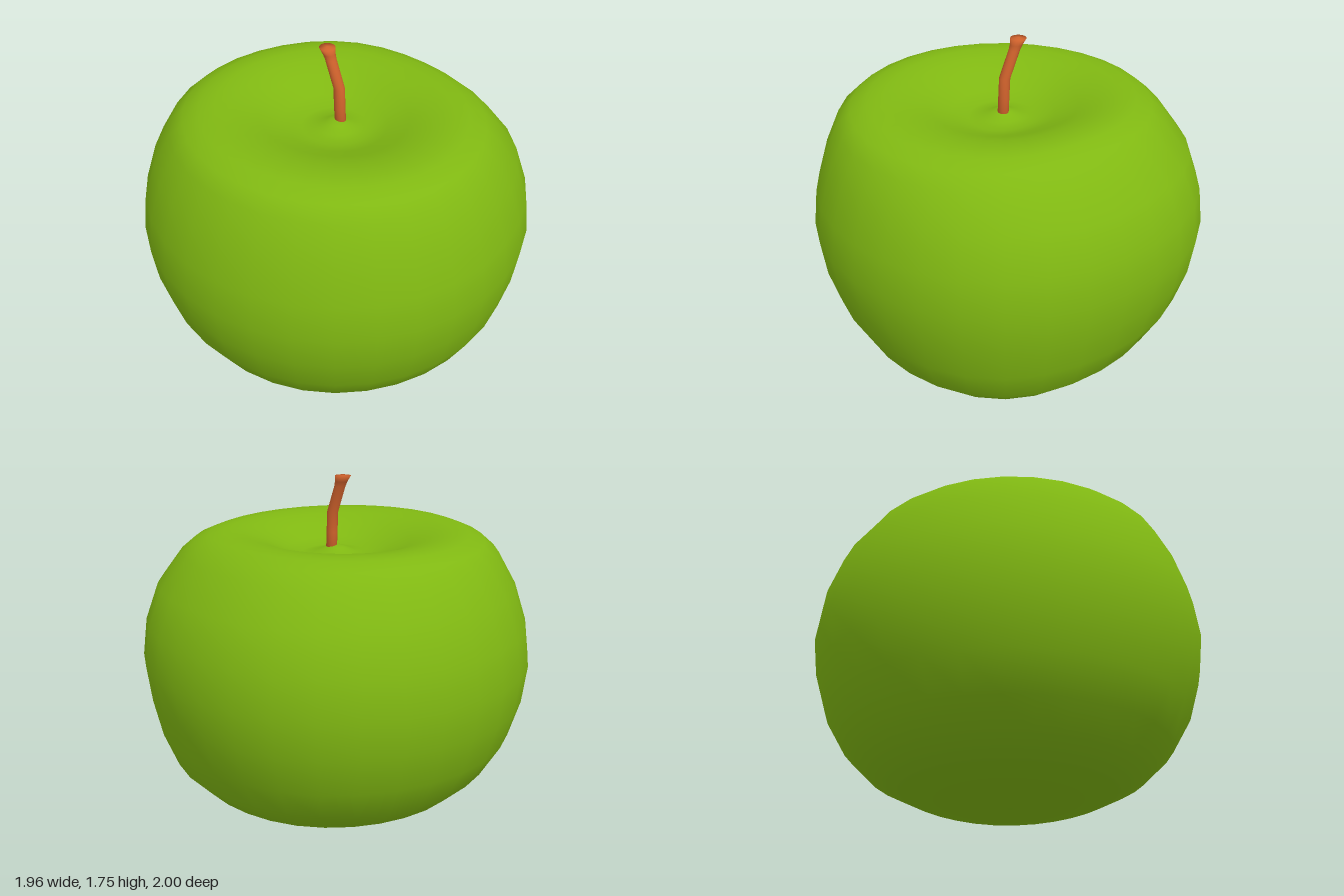
import * as THREE from 'three';
import { mergeVertices } from 'three/addons/utils/BufferGeometryUtils.js';

const { smoothstep, mapLinear } = THREE.MathUtils;

// Revolve a [radius, height] profile, reshape it by a rule, and weld it for smooth normals
function turned(profile, sides, reshape) {
  const pts = profile.map(([r, y]) => new THREE.Vector2(r, y));
  let geo = new THREE.LatheGeometry(pts, sides);
  geo.deleteAttribute('uv');
  geo.deleteAttribute('normal');
  const pos = geo.attributes.position;
  const v = new THREE.Vector3();
  for (let i = 0; i < pos.count; i++) {
    reshape(v.fromBufferAttribute(pos, i));
    pos.setXYZ(i, v.x, v.y, v.z);
  }
  geo = mergeVertices(geo, 1e-4);
  geo.computeVertexNormals();
  return geo;
}

function createBody() {
  // Underside, cheeks, shoulder, then the hollow with a small bump under the stem
  const profile = [
    [0, 0.002], [0.14, 0.014], [0.32, 0.038], [0.53, 0.076], [0.69, 0.155],
    [0.82, 0.28], [0.92, 0.45], [0.977, 0.64], [1, 0.83], [0.975, 1.02],
    [0.91, 1.21], [0.81, 1.365], [0.74, 1.425], [0.66, 1.457], [0.58, 1.462],
    [0.48, 1.45], [0.37, 1.413], [0.26, 1.367], [0.17, 1.345], [0.1, 1.353],
    [0.05, 1.375], [0, 1.39],
  ];
  const geo = turned(profile, 32, (v) => {
    const angle = Math.atan2(v.z, v.x);
    const r = Math.hypot(v.x, v.z);
    const toLeft = Math.cos(angle);
    const toFront = Math.sin(angle);
    const top = smoothstep(v.y, 1.15, 1.42);
    const base = 1 - smoothstep(v.y, 0.06, 0.6);
    // Uneven shoulder: narrow and low on one side, full on the other
    const shoulder = top * (-0.04 * toLeft - 0.02 * Math.cos(2 * angle) + 0.02 * toFront);
    // Underside swells towards one front corner
    const swell = base * 0.09 * Math.max(0, Math.cos(angle - 0.6)) ** 2;
    // Slightly squared cheeks on the left side
    const cheek = 0.034 * Math.max(0, toLeft) * Math.sin(2 * angle) ** 2;
    const scale = 1 + shoulder + swell + cheek;
    v.x *= scale * 0.982;
    v.z *= scale;
    v.y += top * r * (0.008 * Math.cos(2 * angle + 0.6) - 0.014 * toLeft);
    v.y -= swell * r * 0.3;
    // Bump in the hollow sits under the stem
    if (v.y > 1) v.z += 0.02 * (1 - smoothstep(r, 0.1, 0.4));
  });
  const body = new THREE.Mesh(geo, new THREE.MeshStandardMaterial({ color: 0x80b812 }));
  body.name = 'fruitBody';
  return body;
}

function createStem() {
  // Each ring: radius, height; flared at the tip and closed by a rounded end
  const profile = [
    [0, 1.36], [0.028, 1.36], [0.028, 1.45], [0.028, 1.555],
    [0.028, 1.69], [0.031, 1.715], [0.04, 1.745], [0, 1.748],
  ];
  // The centre line leans back above the bend
  const bend = (y) => (y < 1.555
    ? mapLinear(y, 1.36, 1.555, 0.03, 0.02)
    : mapLinear(y, 1.555, 1.745, 0.02, -0.06));
  const geo = turned(profile, 16, (v) => {
    v.z += bend(v.y);
    v.x += 0.016;
  });
  const stem = new THREE.Mesh(geo, new THREE.MeshStandardMaterial({ color: 0xd0622c }));
  stem.name = 'stem';
  return stem;
}

export function createModel() {
  const model = new THREE.Group();
  model.name = 'apple';
  model.add(createBody(), createStem());
  return model;
}
